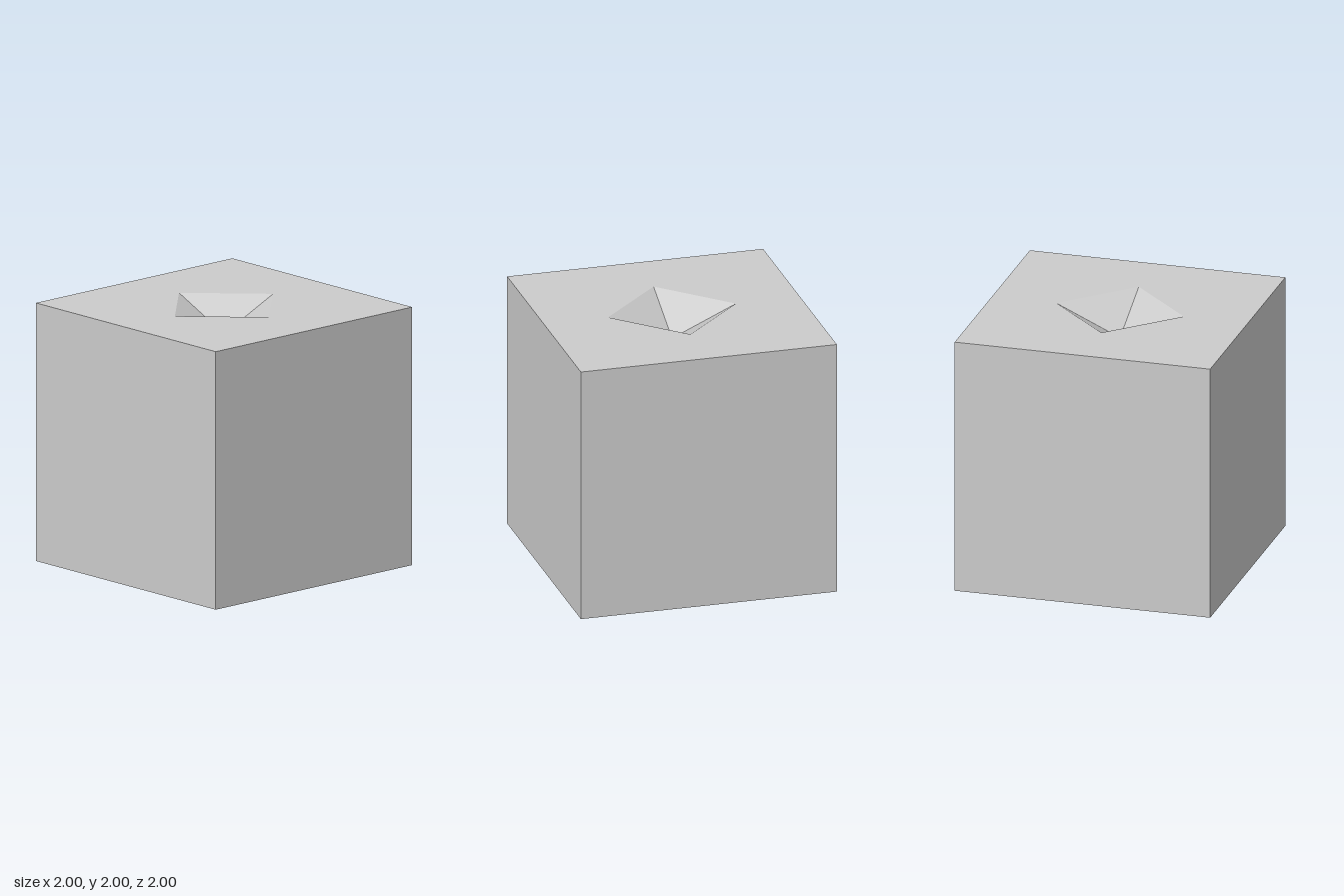
import * as THREE from 'three';

const SIZE = 2, HALF = SIZE / 2;
const PIT_RADIUS = 0.5, PIT_DEPTH = 0.225;

export function createModel() {
  const group = new THREE.Group();
  const material = new THREE.MeshStandardMaterial({ color: 0xcccccc, flatShading: true });
  const pitMaterial = material.clone();
  pitMaterial.side = THREE.DoubleSide;

  const add = (name, geometry, mat = material) => {
    const mesh = new THREE.Mesh(geometry, mat);
    mesh.name = name;
    group.add(mesh);
  };

  // Four side walls
  ['frontWall', 'leftWall', 'backWall', 'rightWall'].forEach((name, i) => {
    add(name, new THREE.PlaneGeometry(SIZE, SIZE)
      .translate(0, HALF, HALF)
      .rotateY(i * Math.PI / 2));
  });

  // Underside
  add('base', new THREE.PlaneGeometry(SIZE, SIZE).rotateX(Math.PI / 2));

  // Top face with a diamond opening
  const top = new THREE.Shape([[-1, -1], [1, -1], [1, 1], [-1, 1]]
    .map(([x, y]) => new THREE.Vector2(x * HALF, y * HALF)));
  top.holes.push(new THREE.Path([[1, 0], [0, -1], [-1, 0], [0, 1]]
    .map(([x, y]) => new THREE.Vector2(x * PIT_RADIUS, y * PIT_RADIUS))));
  add('topFace', new THREE.ShapeGeometry(top).rotateX(-Math.PI / 2).translate(0, SIZE, 0));

  // Inverted four-sided pyramid sunk into the top
  add('pyramidPit', new THREE.ConeGeometry(PIT_RADIUS, PIT_DEPTH, 4, 1, true)
    .rotateX(Math.PI)
    .translate(0, SIZE - PIT_DEPTH / 2, 0), pitMaterial);

  return group;
}
